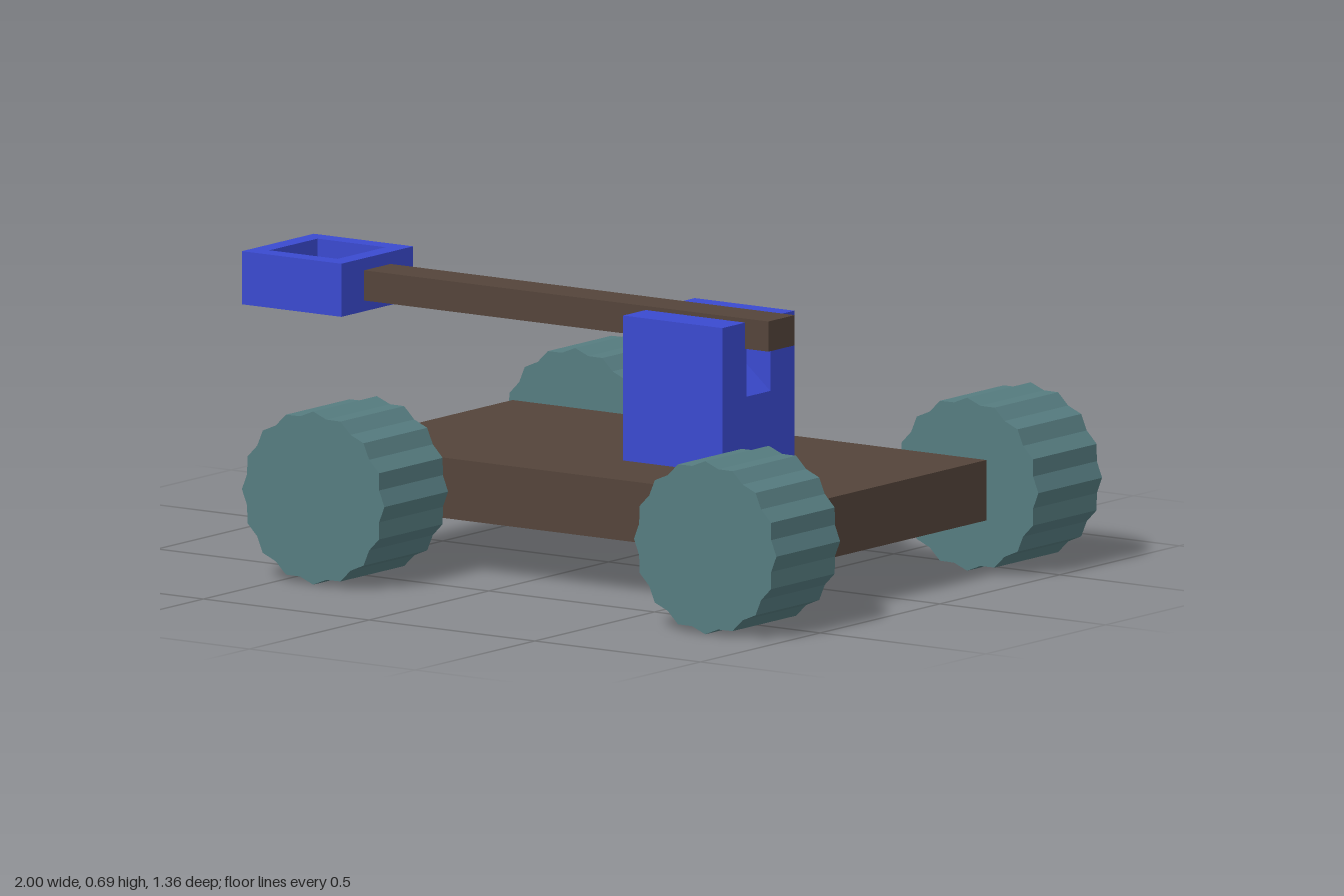
import * as THREE from 'three';

const paint = (color) => new THREE.MeshStandardMaterial({ color, flatShading: true });

// Prism from 2D points, extruded along z and centred on z = 0
function prism(points, depth, hole) {
  const toVectors = (list) => list.map(([x, y]) => new THREE.Vector2(x, y));
  const shape = new THREE.Shape(toVectors(points));
  if (hole) shape.holes.push(new THREE.Path(toVectors(hole)));
  const geometry = new THREE.ExtrudeGeometry(shape, { depth, bevelEnabled: false });
  return geometry.translate(0, 0, -depth / 2);
}

const rectangle = (w, h) => [[-w / 2, -h / 2], [w / 2, -h / 2], [w / 2, h / 2], [-w / 2, h / 2]];

export function createModel() {
  const model = new THREE.Group();
  model.name = 'catapult';
  const wood = paint(0x54443a);
  const blue = paint(0x3a4ad0);
  const teal = paint(0x567c80);
  const midZ = -0.003;

  const add = (name, geometry, material, x, y, z, parent = model) => {
    const mesh = new THREE.Mesh(geometry, material);
    mesh.name = name;
    mesh.position.set(x, y, z);
    parent.add(mesh);
    return mesh;
  };

  // Flat platform and throwing arm
  add('platform', new THREE.BoxGeometry(1.43, 0.15, 0.75), wood, 0.152, 0.215, midZ);
  add('arm', new THREE.BoxGeometry(1.22, 0.075, 0.11), wood, -0.09, 0.6225, midZ);

  // Slotted post: two cheeks with a ridged pivot between them
  const post = new THREE.Group();
  post.name = 'post';
  model.add(post);
  for (const side of [1, -1]) {
    add('postCheek', new THREE.BoxGeometry(0.3, 0.36, 0.1), blue, 0.3, 0.47, midZ + side * 0.1, post);
  }
  const ridge = [[-0.15, 0.29], [0.15, 0.29], [0.15, 0.465], [0, 0.59], [-0.15, 0.465]];
  add('pivotRidge', prism(ridge, 0.1), blue, 0.3, 0, midZ, post);

  // Open square cup at the end of the arm
  const cup = new THREE.Group();
  cup.name = 'cup';
  model.add(cup);
  const rim = prism(rectangle(0.3, 0.3), 0.065, rectangle(0.205, 0.2)).rotateX(-Math.PI / 2);
  add('cupRim', rim, blue, -0.85, 0.6575, midZ, cup);
  add('cupBase', new THREE.BoxGeometry(0.3, 0.067, 0.3), blue, -0.85, 0.5915, midZ, cup);

  // Four notched wheels
  const teeth = 16;
  const outline = [];
  for (let i = 0; i < teeth * 2; i++) {
    const angle = (i * Math.PI) / teeth;
    const radius = i % 2 ? 0.203 : 0.215;
    outline.push([Math.cos(angle) * radius, Math.sin(angle) * radius]);
  }
  const wheel = prism(outline, 0.266);
  for (const x of [-0.4, 0.783]) {
    for (const side of [1, -1]) add('wheel', wheel, teal, x, 0.216, side * 0.547);
  }
  return model;
}
